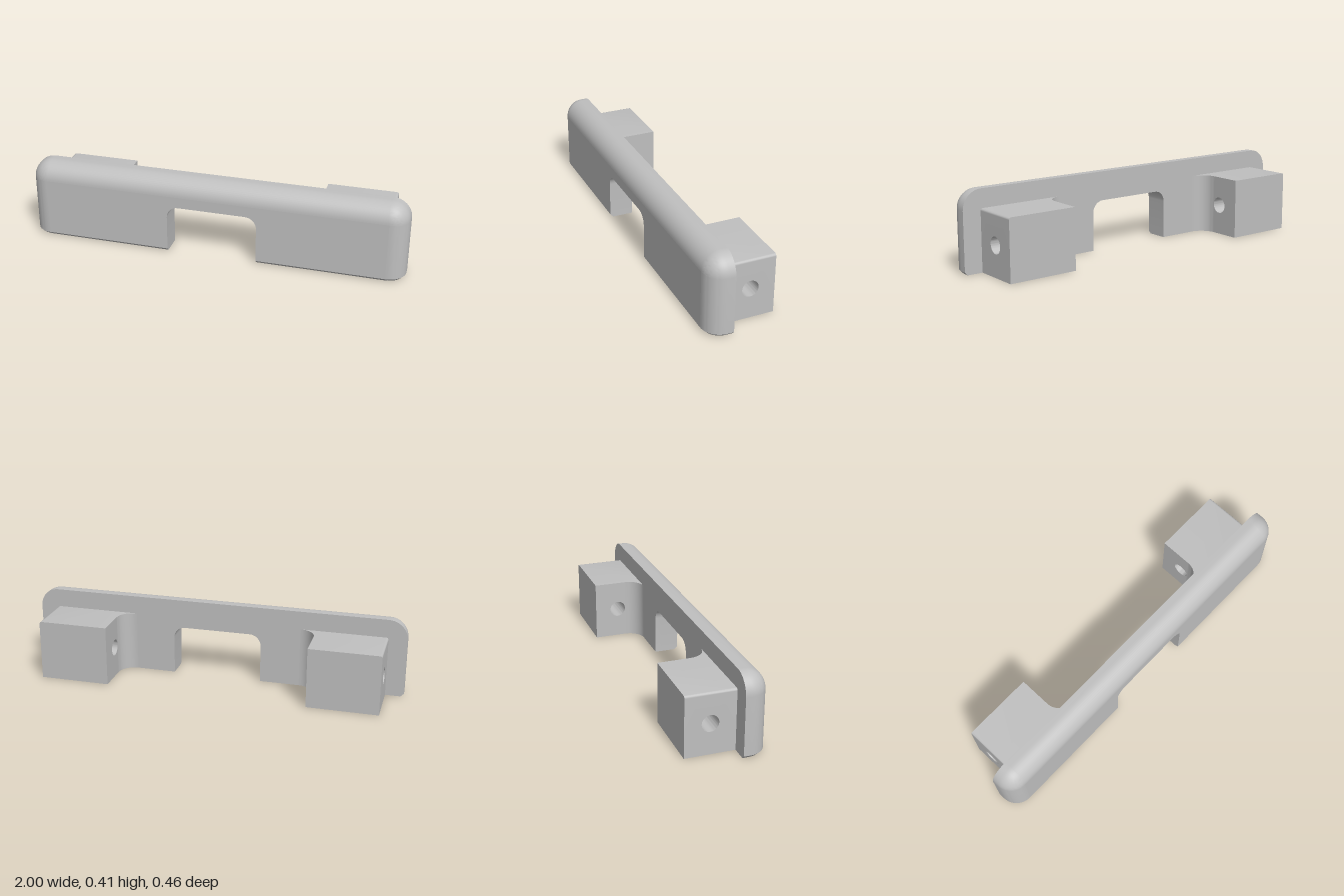
import * as THREE from 'three';
import { mergeGeometries, toCreasedNormals } from 'three/addons/utils/BufferGeometryUtils.js';

const L = 1.0, H = 0.415;                  // plate half length, height
const BACK = 0.0645, FRONT = 0.192;        // plate back and front in z
const R = 0.1, ROUND = 0.095, CH = 0.016;  // corner radius, front rounding, bottom chamfer
const NOTCH = 0.238, NOTCH_TOP = 0.262, NOTCH_R = 0.06;
const ZC = FRONT - ROUND;
const IN = 0.533, OUT = 0.904, BLOCK_H = 0.318, BLOCK_BACK = -0.191;

// Outline of the plate at depth z, counter-clockwise seen from the front
function plateOutline(z) {
  const dz = Math.max(0, z - ZC);
  const inset = (t) => ROUND - Math.sqrt(Math.max(0, (ROUND - t) ** 2 - dz * dz));
  const y0 = Math.max(0, z - FRONT + CH);
  const d = inset(0), r = R - d;
  const half = [[L - inset(CH - y0), y0], [L - d, CH]];
  for (let i = 0; i <= 12; i++) {
    const a = (i / 12) * Math.PI / 2;
    half.push([L - R + r * Math.cos(a), H - R + r * Math.sin(a)]);
  }
  const notch = [[-NOTCH, y0]];
  for (let i = 0; i <= 8; i++) {
    const a = (i / 8) * Math.PI / 2;
    notch.push([-NOTCH + NOTCH_R * (1 - Math.cos(a)), NOTCH_TOP - NOTCH_R * (1 - Math.sin(a))]);
  }
  const mirror = (pts) => pts.map(([x, y]) => [-x, y]).reverse();
  return [...half, ...mirror(half), ...notch, ...mirror(notch)];
}

function geometryFrom(positions) {
  const g = new THREE.BufferGeometry();
  g.setAttribute('position', new THREE.Float32BufferAttribute(positions, 3));
  g.computeVertexNormals();
  return g;
}

// Plate lofted from back to front, with flat caps
function plateGeometry() {
  const depths = [BACK, FRONT - CH];
  for (let i = 0; i <= 16; i++) depths.push(ZC + ROUND * Math.sin((i / 16) * Math.PI / 2));
  depths.sort((a, b) => a - b);
  const rings = depths.map((z) => plateOutline(z).map(([x, y]) => [x, y, z]));
  const sides = [], caps = [];
  for (let k = 0; k + 1 < rings.length; k++) {
    const a = rings[k], b = rings[k + 1];
    a.forEach((p, i) => {
      const j = (i + 1) % a.length;
      sides.push(...p, ...a[j], ...b[j], ...p, ...b[j], ...b[i]);
    });
  }
  const cap = (ring, flip) => {
    const contour = ring.map(([x, y]) => new THREE.Vector2(x, y));
    for (const [a, b, c] of THREE.ShapeUtils.triangulateShape(contour, [])) {
      caps.push(...ring[a], ...ring[flip ? c : b], ...ring[flip ? b : c]);
    }
  };
  cap(rings[0], true);
  cap(rings[rings.length - 1], false);
  return mergeGeometries([toCreasedNormals(geometryFrom(sides), 0.5), geometryFrom(caps)]);
}

// Block with a cross hole; its outer top edge is slightly rounded
function blockGeometry(side) {
  const w = (BACK - BLOCK_BACK) / 2, depth = OUT - IN, r = 0.012, steps = 5;
  const shape = new THREE.Shape();
  shape.moveTo(-w, 0).lineTo(w, 0).lineTo(w, BLOCK_H).lineTo(-w, BLOCK_H).closePath();
  shape.holes.push(new THREE.Path().absarc(0, 0.161, 0.043, 0, Math.PI * 2, true));
  let g = new THREE.ExtrudeGeometry(shape, { depth, steps, bevelEnabled: false, curveSegments: 32 });
  const p = g.attributes.position;
  for (let i = 0; i < p.count; i++) {
    const k = Math.round((p.getZ(i) / depth) * steps);
    if (k === 0) continue;
    const a = ((k - 1) / (steps - 1)) * Math.PI / 2;
    p.setZ(i, depth - r + r * Math.sin(a));
    if (p.getY(i) > BLOCK_H - 0.001) p.setY(i, BLOCK_H - r * (1 - Math.cos(a)));
  }
  g = toCreasedNormals(g, 0.5);
  g.rotateY(side * Math.PI / 2);
  g.translate(side * IN, 0, (BACK + BLOCK_BACK) / 2);
  return g;
}

// Concave fillet between a block's inner side and the plate
function filletGeometry(side) {
  const f = 0.085, pts = [new THREE.Vector2(side * IN, -BACK)];
  for (let i = 0; i <= 12; i++) {
    const a = (i / 12) * Math.PI / 2;
    pts.push(new THREE.Vector2(side * (IN - f + f * Math.cos(a)), -BACK + f - f * Math.sin(a)));
  }
  const g = new THREE.ExtrudeGeometry(new THREE.Shape(pts), { depth: BLOCK_H, bevelEnabled: false });
  g.rotateX(-Math.PI / 2);
  return toCreasedNormals(g, 0.5);
}

export function createModel() {
  const grey = new THREE.MeshStandardMaterial({ color: 0xbfbfbf });
  grey.name = 'grey';
  const model = new THREE.Group();
  model.name = 'handleBracket';
  const body = new THREE.Group();
  body.name = 'bracketBody';
  const add = (name, geometry) => {
    const mesh = new THREE.Mesh(geometry, grey);
    mesh.name = name;
    body.add(mesh);
  };
  add('frontPlate', plateGeometry());
  for (const [side, label] of [[1, 'left'], [-1, 'right']]) {
    add(label + 'MountingBlock', blockGeometry(side));
    add(label + 'Fillet', filletGeometry(side));
  }
  // The whole part sits slightly turned
  body.rotation.y = -0.0425;
  body.position.x = 0.003;
  model.add(body);
  return model;
}
